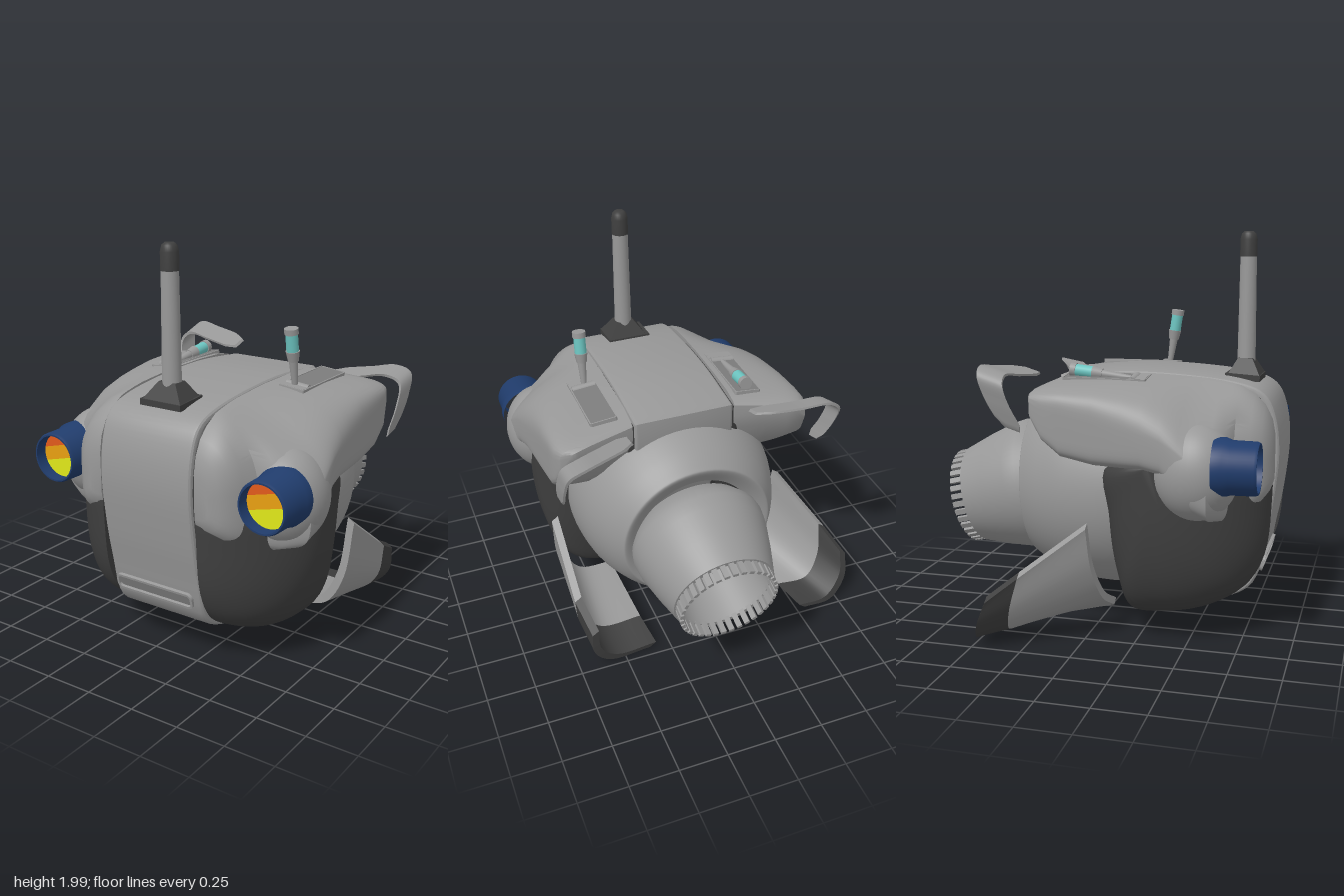
import * as THREE from 'three';
import { toCreasedNormals } from 'three/addons/utils/BufferGeometryUtils.js';

const mat = (name, color) => Object.assign(new THREE.MeshStandardMaterial({ color }), { name });
const V = (x, y, z) => new THREE.Vector3(x, y, z);
const V2 = (p) => new THREE.Vector2(p[0], p[1]);
const CX = 0.07; // middle plane of the body
const INNER = 0.27; // inner face of the side shells, measured from the middle plane

// Closed solid through equal rings of points, turned outward by its signed volume
function loft(rings, crease = 0.6) {
  const n = rings[0].length, last = (rings.length - 1) * n, pts = rings.flat();
  const idx = [];
  const quad = (a, b, c, d) => idx.push(a, b, c, a, c, d);
  for (let r = 0; r < rings.length - 1; r++) {
    for (let i = 0; i < n; i++) {
      const j = (i + 1) % n;
      quad(r * n + i, r * n + j, (r + 1) * n + j, (r + 1) * n + i);
    }
  }
  for (let i = 0; i < n / 2 - 1; i++) {
    quad(n - 1 - i, n - 2 - i, i + 1, i);
    quad(last + i, last + i + 1, last + n - 2 - i, last + n - 1 - i);
  }
  let volume = 0;
  const cross = new THREE.Vector3();
  for (let i = 0; i < idx.length; i += 3) {
    volume += pts[idx[i]].dot(cross.crossVectors(pts[idx[i + 1]], pts[idx[i + 2]]));
  }
  if (volume < 0) idx.reverse();
  const g = new THREE.BufferGeometry().setFromPoints(pts);
  g.setIndex(idx);
  return toCreasedNormals(g, crease);
}

// Sheet with thickness: each row is a few points, swept smoothly from row to row
function sheet(rows, offset, across = 8) {
  return loft(rows.map((row) => {
    const p = new THREE.CatmullRomCurve3(row).getPoints(across);
    return [...p, ...p.map((q) => q.clone().add(offset)).reverse()];
  }));
}

// Bent strip along a path, with a constant half-width vector and rounded ends
function strip(path, half, offset) {
  const pts = new THREE.CatmullRomCurve3(path.map((p) => V(...p))).getPoints(32);
  return sheet(pts.map((p, i) => {
    const t = i / 32, w = half.clone().multiplyScalar(Math.min(1, 0.6 + 6 * Math.min(t, 1 - t)));
    return [p.clone().sub(w), p, p.clone().add(w)];
  }), offset, 4);
}

// Shape from a rounded rectangle
function roundRect(T, w, h, r) {
  const s = new T(), x = w / 2 - r, y = h / 2 - r;
  s.absarc(x, y, r, 0, Math.PI / 2).absarc(-x, y, r, Math.PI / 2, Math.PI);
  s.absarc(-x, -y, r, Math.PI, 1.5 * Math.PI).absarc(x, -y, r, 1.5 * Math.PI, 2 * Math.PI);
  return s;
}

export function createModel() {
  const grey = mat('hull grey', 0x989898), dark = mat('dark grey', 0x3f3f3f);
  const recess = mat('recess grey', 0x7c7c7c), blue = mat('lamp blue', 0x203c6c);
  const teal = mat('handle teal', 0x6cc4c0);
  const lensColours = [mat('lens yellow', 0xe0e81a), mat('lens orange', 0xe8a012), mat('lens red', 0xe05a1c)];
  const root = new THREE.Group();
  root.name = 'podCraft';
  const add = (name, geo, m, pos = [0, 0, 0], rot = [0, 0, 0], parent = root) => {
    const mesh = new THREE.Mesh(geo, m);
    mesh.name = name;
    mesh.position.set(...pos);
    mesh.rotation.set(...rot);
    parent.add(mesh);
    return mesh;
  };
  const frame = (w, h, border, r, depth) => {
    const s = roundRect(THREE.Shape, w, h, r);
    s.holes.push(roundRect(THREE.Path, w - border * 2, h - border * 2, Math.max(r - border, 0.004)));
    return new THREE.ExtrudeGeometry(s, { depth, bevelEnabled: false, curveSegments: 8 });
  };

  // Centre panel wrapping bottom, front and top, with a dark core showing in the seams
  const outer = new THREE.SplineCurve([[0.12, 0.14], [0.36, 0.11], [0.6, 0.16], [0.78, 0.26], [0.845, 0.5], [0.88, 0.7],
    [0.9, 0.92], [0.88, 1.1], [0.82, 1.22], [0.68, 1.275], [0.4, 1.305], [0.1, 1.31], [-0.22, 1.28]].map(V2)).getPoints(60);
  const panelShape = new THREE.Shape([...outer, V2([-0.22, 1.1]), V2([0.1, 0.5])]);
  const slab = (width) => {
    const g = new THREE.ExtrudeGeometry(panelShape, { depth: width - 0.04, bevelThickness: 0.02, bevelSize: 0.02, bevelOffset: -0.02, bevelSegments: 3 });
    return toCreasedNormals(g.translate(0, 0, 0.02 - width / 2).rotateY(-Math.PI / 2), 0.5);
  };
  add('centrePanel', slab(0.52), grey, [CX, 0, 0]);
  add('seamCore', slab(0.6).translate(0, -0.7, -0.3).scale(1, 0.96, 0.96).translate(0, 0.7, 0.3), dark, [CX, 0, 0]);
  add('frontSlotRim', frame(0.45, 0.085, 0.012, 0.03, 0.03), grey, [0.06, 0.365, 0.803], [0.25, 0, 0]);
  add('frontSlotFloor', new THREE.ShapeGeometry(roundRect(THREE.Shape, 0.43, 0.065, 0.025)), recess, [0.06, 0.365, 0.822], [0.25, 0, 0]);

  // Round rear hull
  const hull = new THREE.SplineCurve([[0.3, -0.34], [0.48, -0.28], [0.54, -0.1], [0.525, 0.12], [0.47, 0.28],
    [0.41, 0.38], [0.38, 0.4], [0.3, 0.36]].map(V2)).getPoints(40);
  add('rearHull', new THREE.LatheGeometry(hull, 64), grey, [CX, 0.7, 0], [-Math.PI / 2 - 0.06, 0, 0]);

  // Hollow nozzle with a toothed rim, tilted downward
  const nozzle = new THREE.Group();
  nozzle.name = 'nozzle';
  nozzle.position.set(0.076, 0.66, -0.4);
  nozzle.rotation.x = -Math.PI / 2 - 0.24;
  root.add(nozzle);
  const cone = [[0.3, -0.08], [0.345, -0.01], [0.352, 0.03], [0.344, 0.1], [0.308, 0.24], [0.265, 0.38], [0.24, 0.38], [0.22, 0.2], [0.2, 0.02], [0, 0.02]];
  add('nozzleCone', toCreasedNormals(new THREE.LatheGeometry(cone.map(V2), 64), 0.6), grey, undefined, undefined, nozzle);
  for (let i = 0; i < 36; i++) {
    const a = (i / 36) * Math.PI * 2;
    add('nozzleTooth', new THREE.BoxGeometry(0.028, 0.08, 0.018), grey, [Math.sin(a) * 0.247, 0.407, Math.cos(a) * 0.247], [0, a, 0], nozzle);
  }

  // Shoulder stations: z, top, outer offset, bottom, roundness of the upper edge
  const stations = [[-0.27, 1.265, 0.6, 1.2, 5], [-0.25, 1.28, 0.65, 1.12, 6], [-0.19, 1.292, 0.67, 1.0, 7],
    [-0.1, 1.298, 0.675, 0.92, 7], [0.06, 1.305, 0.68, 0.885, 5], [0.2, 1.305, 0.69, 0.88, 3.4], [0.3, 1.305, 0.7, 0.88, 2.6],
    [0.4, 1.3, 0.715, 0.86, 2], [0.48, 1.295, 0.725, 0.78, 1.6], [0.55, 1.29, 0.73, 0.68, 1.4], [0.62, 1.28, 0.72, 0.645, 1.35],
    [0.67, 1.27, 0.63, 0.635, 1.5], [0.71, 1.26, 0.5, 0.64, 1.9], [0.78, 1.22, 0.465, 0.67, 2.2], [0.83, 1.17, 0.435, 0.71, 2.4],
    [0.865, 1.1, 0.39, 0.76, 2.4], [0.88, 1.02, 0.34, 0.81, 2.2]];
  const bowl = new THREE.CatmullRomCurve3([[0.86, 0.82], [0.868, 0.66], [0.84, 0.42], [0.76, 0.27], [0.6, 0.17], [0.36, 0.12],
    [0.2, 0.13], [0.13, 0.3], [0.08, 0.6], [0.06, 0.86], [0.35, 0.92], [0.5, 0.82], [0.66, 0.75], [0.78, 0.76]]
    .map(([z, y]) => V(0, y, z)), true).getPoints(64).slice(0, -1);

  for (const s of [1, -1]) {
    const side = s > 0 ? 'left' : 'right';
    // Upper shoulder shell
    add(side + 'Shoulder', loft(stations.map(([z, top, out, bot, n]) => Array.from({ length: 40 }, (_, i) => {
      const a = (i / 39) * Math.PI, c = Math.cos(a), p = 2 / (c > 0 ? n : 5);
      const w = (out - INNER) * Math.pow(Math.max(Math.sin(a), 0), p);
      const mid = (top + bot) / 2, y = mid + Math.sign(c) * Math.pow(Math.abs(c), p) * (top - bot) / 2;
      const notch = z < -0.15 ? 0.06 * Math.max(0, 1 - w / 0.3) : 0;
      return V(CX + s * (INNER + w), y - 0.1 * w * Math.min(1, 1 + c), z + notch);
    }))), grey);
    // Dark lower bowl, rounded off more strongly toward the front
    add(side + 'LowerShell', loft(Array.from({ length: 20 }, (_, i) => {
      const t = Math.sin((i / 19) * 1.48), k = Math.pow(1 - t ** 3, 1 / 3), front = Math.pow(1 - t ** 1.7, 0.58);
      return bowl.map((p) => V(CX + s * (INNER + 0.39 * t), 0.9 + (p.y - 0.9) * k, 0.38 + (p.z - 0.38) * (p.z > 0.38 ? front : k)));
    })), dark);

    // Headlamp: rounded housing, barrel and three-band lens
    const lamp = new THREE.Group();
    lamp.name = side + 'Headlamp';
    lamp.position.set(CX + s * 0.6, 0.92, 0);
    root.add(lamp);
    add('lampHousing', new THREE.SphereGeometry(1, 40, 28), grey, [-s * 0.05, -0.04, 0.54], undefined, lamp).scale.set(0.195, 0.235, 0.21);
    const barrel = [[0.14, 0.64], [0.14, 0.69], [0.128, 0.72], [0.126, 0.835], [0.12, 0.848], [0.112, 0.848], [0.11, 0.77], [0, 0.77]];
    add('lampBarrel', toCreasedNormals(new THREE.LatheGeometry(barrel.map(V2), 48), 0.5), blue, undefined, [Math.PI / 2, 0, 0], lamp);
    const r = 0.111, cuts = [-r, -0.018, 0.05, r].map((h) => Math.asin(h / r));
    lensColours.forEach((m, i) => {
      const band = new THREE.Shape().absarc(0, 0, r, cuts[i], cuts[i + 1]).absarc(0, 0, r, Math.PI - cuts[i + 1], Math.PI - cuts[i]);
      add('lensBand', new THREE.ShapeGeometry(band, 24), m, [0, 0, 0.79], [0, 0, 0.25], lamp);
    });

    // Lever bay on top of the shoulder
    const bay = new THREE.Group();
    bay.name = side + 'LeverBay';
    bay.position.set(s > 0 ? 0.465 : -0.298, 1.286, 0.058);
    bay.rotation.z = -s * 0.1;
    root.add(bay);
    add('bayRim', frame(0.14, 0.42, 0.006, 0.01, 0.025), grey, [0, -0.012, 0], [-Math.PI / 2, 0, 0], bay);
    add('bayFloor', new THREE.BoxGeometry(0.13, 0.008, 0.41), recess, [0, 0.006, 0], undefined, bay);
    add('bayBlock', new THREE.BoxGeometry(0.128, 0.016, 0.08), grey, [0, 0.006, 0.165], undefined, bay);
    add('leverPivot', new THREE.CylinderGeometry(0.022, 0.022, 0.12, 20), grey, [0, 0, 0.14], [0, 0, Math.PI / 2], bay);
    // Lever: upright on one side, folded back on the other
    const lever = new THREE.Group();
    lever.name = side + 'Lever';
    lever.position.set(s > 0 ? 0.457 : -0.298, s > 0 ? 1.275 : 1.29, s > 0 ? 0.21 : 0.18);
    lever.rotation.x = s > 0 ? 0.15 : -1.46;
    root.add(lever);
    const part = (name, r1, r0, y0, y1, m) => add(name, new THREE.CylinderGeometry(r1, r0, y1 - y0, 24), m, [0, (y0 + y1) / 2, 0], undefined, lever);
    part('leverStem', 0.022, 0.013, 0, 0.15, grey);
    part('leverCollar', 0.034, 0.026, 0.145, 0.195, grey);
    part('leverGrip', 0.03, 0.03, 0.195, 0.28, teal);
    part('leverCap', 0.034, 0.034, 0.28, 0.308, grey);
  }

  // Antenna
  add('antennaPlate', new THREE.BoxGeometry(0.23, 0.03, 0.175), dark, [0.078, 1.277, 0.688], [0.06, 0, 0]);
  const base = new THREE.CylinderGeometry(0.068, 0.155, 0.085, 4).rotateY(Math.PI / 4).scale(1, 1, 0.76);
  add('antennaBase', toCreasedNormals(base, 0.3), dark, [0.083, 1.325, 0.69]);
  add('antennaRod', new THREE.CylinderGeometry(0.041, 0.046, 0.54, 32), grey, [0.085, 1.62, 0.69]);
  const tip = [[0.043, 1.875], [0.043, 1.96], [0.036, 1.988], [0.022, 2], [0, 2]];
  add('antennaTip', new THREE.LatheGeometry(tip.map(V2), 32), dark, [0.085, 0, 0.69]);

  // Bent rear flaps
  add('leftFlap', strip([[0.38, 1.24, -0.27], [0.55, 1.255, -0.36], [0.66, 1.265, -0.42], [0.74, 1.235, -0.425], [0.757, 1.13, -0.37], [0.745, 0.98, -0.275]],
    V(0, -0.012, 0.066), V(-0.01, -0.012, 0)), grey);
  add('rightFlap', strip([[-0.24, 1.31, -0.35], [-0.45, 1.33, -0.405], [-0.59, 1.342, -0.43], [-0.64, 1.3, -0.425], [-0.63, 1.2, -0.395], [-0.6, 1.07, -0.33]],
    V(0, -0.02, 0.064), V(0.01, -0.012, 0)), grey);

  // Curved lower fins with dark tips: rows run from root to tip, top edge to bottom edge
  const fins = {
    left: [[V(0.72, 0.59, 0.06), V(0.69, 0.3, 0.1), V(0.6, 0.15, 0.12), V(0.42, 0.12, 0.14)],
      [V(0.715, 0.33, -0.31), V(0.69, 0.16, -0.3), V(0.6, 0.065, -0.29), V(0.39, 0.06, -0.28)],
      [V(0.68, 0.24, -0.49), V(0.67, 0.11, -0.485), V(0.58, 0.02, -0.47), V(0.36, 0.01, -0.45)]],
    right: [[V(-0.59, 0.59, 0.03), V(-0.56, 0.38, 0.05), V(-0.47, 0.22, 0.08), V(-0.31, 0.13, 0.1)],
      [V(-0.75, 0.37, -0.26), V(-0.73, 0.2, -0.31), V(-0.65, 0.08, -0.34), V(-0.48, 0.07, -0.33)],
      [V(-0.82, 0.26, -0.4), V(-0.8, 0.14, -0.45), V(-0.7, 0.04, -0.49), V(-0.53, 0.05, -0.51)]],
  };
  for (const [side, rows] of Object.entries(fins)) {
    const thick = V(side === 'left' ? -0.035 : 0.035, 0.025, 0);
    add(side + 'Fin', sheet(rows.slice(0, 2), thick, 18), grey);
    add(side + 'FinTip', sheet(rows.slice(1), thick, 18), dark);
  }
  return root;
}
